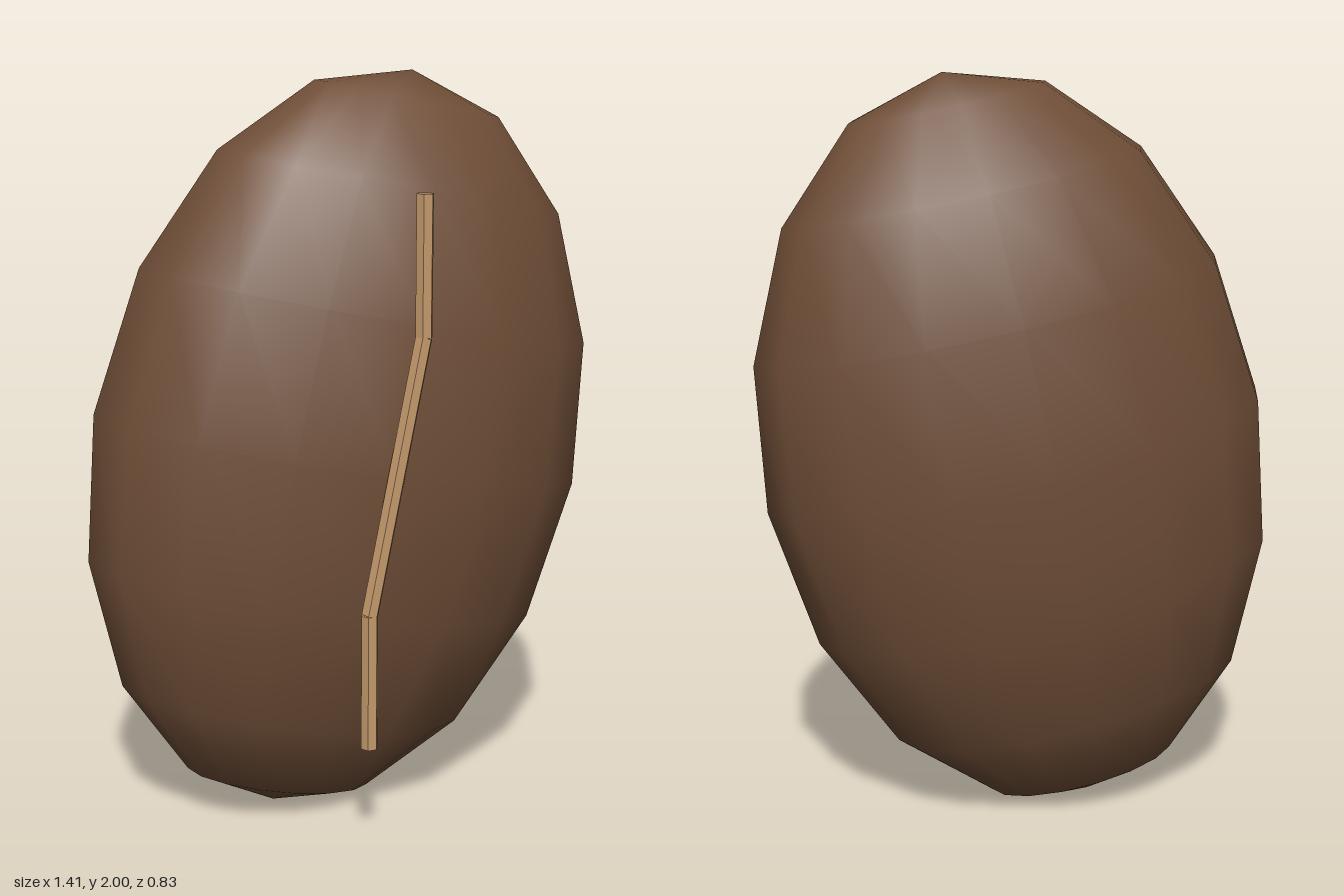
import * as THREE from 'three';

export function createModel() {
  const model = new THREE.Group();
  const roast = new THREE.MeshStandardMaterial({ color: 0x6f4e37 });
  roast.name = 'roastedBrown';
  const tan = new THREE.MeshStandardMaterial({ color: 0xc49a6c, flatShading: true });
  tan.name = 'paleTan';

  // Bean body: a flattened sphere leaning towards +x
  const body = new THREE.Mesh(new THREE.SphereGeometry(1, 16, 8), roast);
  body.name = 'beanBody';
  body.scale.set(0.694, 1.02, 0.403);
  body.rotation.z = -0.2;
  body.position.set(0, 1, -0.012);
  model.add(body);

  // Crease: three hexagonal rods along the front, flat side forward
  const crease = new THREE.Group();
  crease.name = 'crease';
  const path = [[0.067, 1.715], [0.067, 1.358], [-0.075, 0.65], [-0.075, 0.29]];
  for (let i = 0; i < path.length - 1; i++) {
    const [x0, y0] = path[i];
    const [x1, y1] = path[i + 1];
    const dx = x0 - x1, dy = y0 - y1;
    const geometry = new THREE.CylinderGeometry(0.023, 0.023, Math.hypot(dx, dy), 6);
    geometry.rotateY(Math.PI / 6);
    const rod = new THREE.Mesh(geometry, tan);
    rod.name = 'creaseRod' + (i + 1);
    rod.position.set((x0 + x1) / 2, (y0 + y1) / 2, 0.395);
    rod.rotation.z = -Math.atan2(dx, dy);
    crease.add(rod);
  }
  model.add(crease);

  return model;
}
